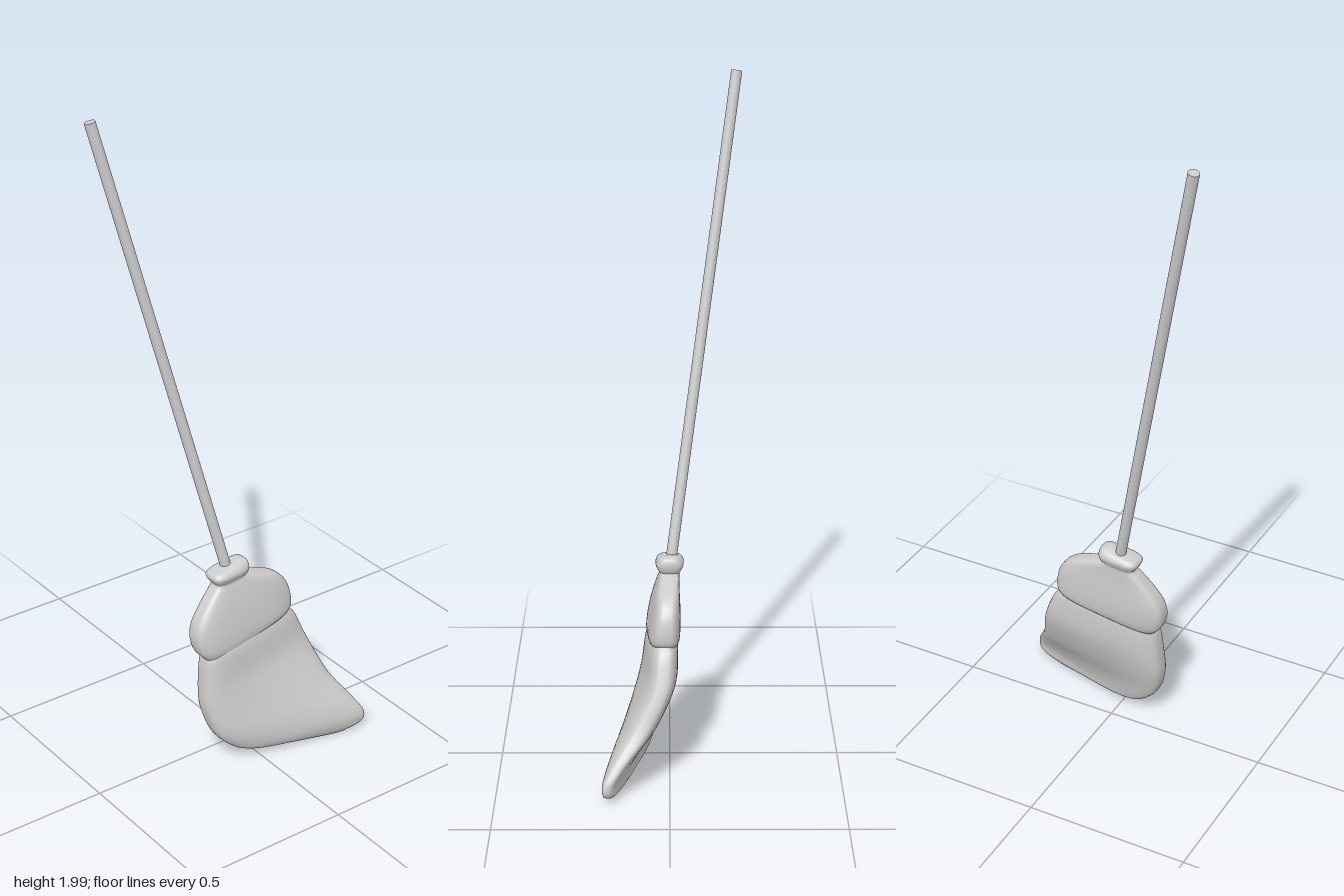
import * as THREE from 'three';

const material = new THREE.MeshStandardMaterial({ color: 0xcccccc });
const RING = 48;
const STEPS = 5;

const rounded = (v, e) => Math.sign(v) * Math.abs(v) ** e;

// Smooth closed body through flat rounded sections, listed from top to bottom.
// Section: left edge x, y, z, half thickness, then the same for the right edge.
function loft(name, sections, exponent) {
  const curve = (pick) => new THREE.CatmullRomCurve3(
    sections.map((s) => new THREE.Vector3(...pick(s))), false, 'catmullrom', 0.5);
  const starts = curve((s) => s.slice(0, 3));
  const ends = curve((s) => s.slice(4, 7));
  const depths = curve((s) => [s[3], s[7], 0]);

  const rows = (sections.length - 1) * STEPS;
  const position = [];
  const index = [];
  const centres = [];
  for (let i = 0; i <= rows; i++) {
    const t = i / rows;
    const a = starts.getPoint(t);
    const b = ends.getPoint(t);
    const h = depths.getPoint(t);
    centres.push(a.clone().lerp(b, 0.5));
    for (let j = 0; j < RING; j++) {
      const angle = (j / RING) * Math.PI * 2;
      const u = (rounded(Math.cos(angle), exponent) + 1) / 2;
      const p = a.clone().lerp(b, u);
      p.z += THREE.MathUtils.lerp(h.x, h.y, u) * rounded(Math.sin(angle), exponent);
      position.push(p.x, p.y, p.z);
    }
  }
  const top = (rows + 1) * RING;
  position.push(...centres[0].toArray(), ...centres[rows].toArray());

  for (let j = 0; j < RING; j++) {
    const k = (j + 1) % RING;
    for (let i = 0; i < rows; i++) {
      const r = i * RING;
      const s = r + RING;
      index.push(r + j, r + k, s + k, r + j, s + k, s + j);
    }
    index.push(top, k, j, top + 1, rows * RING + j, rows * RING + k);
  }

  const geometry = new THREE.BufferGeometry();
  geometry.setAttribute('position', new THREE.Float32BufferAttribute(position, 3));
  geometry.setIndex(index);
  geometry.computeVertexNormals();
  const mesh = new THREE.Mesh(geometry, material);
  mesh.name = name;
  return mesh;
}

// Straight round rod between two points
function rod(name, from, to, radius) {
  const axis = to.clone().sub(from);
  const mesh = new THREE.Mesh(
    new THREE.CylinderGeometry(radius, radius, axis.length(), 24), material);
  mesh.position.copy(from).lerp(to, 0.5);
  mesh.quaternion.setFromUnitVectors(new THREE.Vector3(0, 1, 0), axis.normalize());
  mesh.name = name;
  return mesh;
}

export function createModel() {
  const broom = new THREE.Group();
  broom.name = 'broom';

  // Long leaning handle
  broom.add(rod('handle',
    new THREE.Vector3(-0.025, 0.58, 0),
    new THREE.Vector3(-0.339, 1.996, -0.194), 0.016));

  // Collar, neck and shoulders binding the bristles
  broom.add(loft('collarAndShoulders', [
    [-0.070, 0.618, 0, 0.012, 0.005, 0.637, 0, 0.012],
    [-0.088, 0.612, 0, 0.031, 0.027, 0.631, 0, 0.031],
    [-0.095, 0.600, 0, 0.041, 0.033, 0.612, 0, 0.041],
    [-0.088, 0.584, 0, 0.036, 0.030, 0.594, 0, 0.036],
    [-0.080, 0.572, 0, 0.029, 0.028, 0.584, 0, 0.029],
    [-0.100, 0.550, 0.004, 0.032, 0.070, 0.572, 0.002, 0.031],
    [-0.135, 0.510, 0.010, 0.038, 0.135, 0.548, 0.005, 0.035],
    [-0.163, 0.465, 0.015, 0.045, 0.170, 0.510, 0.008, 0.040],
    [-0.170, 0.420, 0.020, 0.050, 0.183, 0.465, 0.011, 0.044],
    [-0.160, 0.380, 0.025, 0.050, 0.183, 0.430, 0.013, 0.045],
    [-0.140, 0.355, 0.028, 0.045, 0.172, 0.413, 0.013, 0.040],
  ], 0.55));

  // Bristles sweeping forward and to one side
  broom.add(loft('bristles', [
    [-0.125, 0.375, 0.028, 0.040, 0.165, 0.428, 0.013, 0.035],
    [-0.143, 0.350, 0.030, 0.050, 0.200, 0.390, 0.015, 0.042],
    [-0.153, 0.270, 0.035, 0.055, 0.237, 0.300, 0.027, 0.046],
    [-0.155, 0.190, 0.045, 0.055, 0.275, 0.190, 0.085, 0.048],
    [-0.132, 0.110, 0.063, 0.053, 0.325, 0.110, 0.147, 0.036],
    [-0.090, 0.060, 0.074, 0.048, 0.352, 0.060, 0.178, 0.027],
    [-0.040, 0.032, 0.085, 0.038, 0.345, 0.026, 0.178, 0.024],
    [0.040, 0.018, 0.105, 0.018, 0.290, 0.006, 0.168, 0.016],
  ], 0.6));

  return broom;
}
